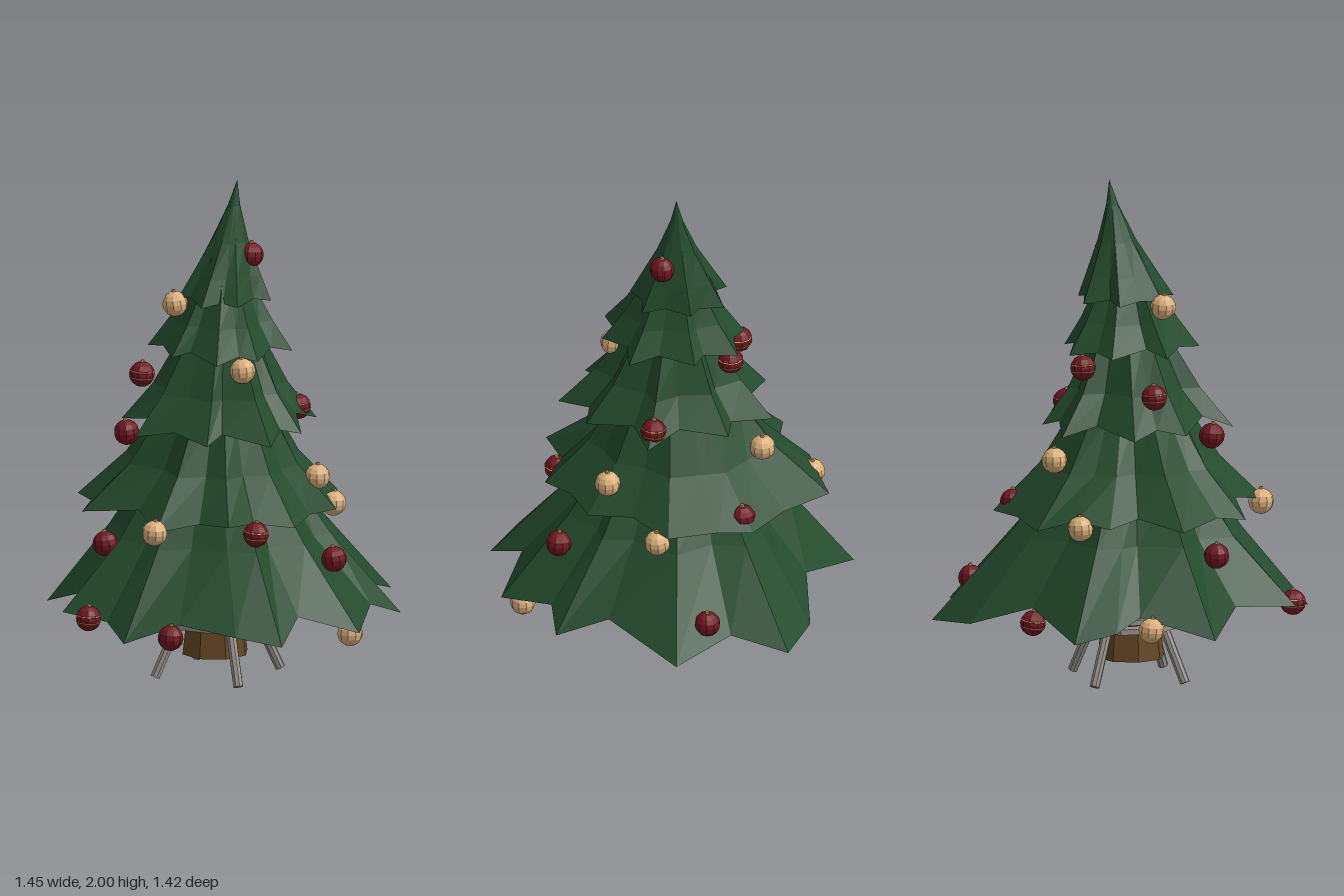
import * as THREE from 'three';

const paint = (color, side = THREE.FrontSide) =>
  new THREE.MeshStandardMaterial({ color, side, flatShading: true });

// Star outline: n tips, seen from above running back, +x, front, -x
function star(cx, cz, rx, rz, n, turn, valley) {
  const pts = [];
  for (let i = 0; i < 2 * n; i++) {
    const a = (i / (2 * n)) * Math.PI * 2 + turn + 0.1 * Math.sin(i * 2.3);
    const k = (i % 2 ? valley : 1) * (1 + 0.05 * Math.sin(i * 1.7 + 1));
    pts.push([cx + Math.sin(a) * rx * k, cz - Math.cos(a) * rz * k]);
  }
  return pts;
}

// One skirt of branches: ragged hem of [x, z, lift] narrowing through rings of [scale, y, creaseAmount]
function skirt(outline, centre, top, hemY, droop, rings) {
  const n = outline.length;
  const radii = outline.map(([x, z]) => Math.hypot(x - centre[0], z - centre[1]));
  const mean = radii.reduce((s, r) => s + r, 0) / n;
  const tipR = Math.max(...radii) * 0.93;
  const endY = rings[rings.length - 1][1];
  const pos = [];
  const idx = [];
  outline.forEach(([x, z, lift = 0], i) =>
    pos.push(x, hemY + lift + Math.max(0, tipR - radii[i]) * droop, z));
  for (const [f, y, crease] of rings) {
    const t = (y - hemY) / (endY - hemY);
    const cx = THREE.MathUtils.lerp(centre[0], top[0], t);
    const cz = THREE.MathUtils.lerp(centre[1], top[1], t);
    outline.forEach(([x, z], i) => {
      const r = f * THREE.MathUtils.lerp(mean, radii[i], crease) / radii[i];
      pos.push(cx + (x - centre[0]) * r, y, cz + (z - centre[1]) * r);
    });
  }
  for (let k = 0; k < rings.length; k++) {
    for (let i = 0; i < n; i++) {
      const j = (i + 1) % n;
      const b0 = k * n + i, b1 = k * n + j;
      idx.push(b1, b0, b0 + n, b1, b0 + n, b1 + n);
    }
  }
  const geo = new THREE.BufferGeometry();
  geo.setAttribute('position', new THREE.Float32BufferAttribute(pos, 3));
  geo.setIndex(idx);
  const flat = geo.toNonIndexed();
  flat.computeVertexNormals();
  return flat;
}

// Flat octagonal ring lying level
function octRing(outer, inner, height) {
  const ngon = (C, r) => {
    const s = new C();
    for (let i = 0; i <= 8; i++) {
      const a = ((i + 0.5) / 8) * Math.PI * 2;
      s[i ? 'lineTo' : 'moveTo'](Math.cos(a) * r, Math.sin(a) * r);
    }
    return s;
  };
  const shape = ngon(THREE.Shape, outer);
  shape.holes.push(ngon(THREE.Path, inner));
  return new THREE.ExtrudeGeometry(shape, { depth: height, bevelEnabled: false }).rotateX(-Math.PI / 2);
}

export function createModel() {
  const model = new THREE.Group();
  const green = paint(0x234b2c, THREE.DoubleSide);
  const brown = paint(0x664724);
  const metal = paint(0x96918a);
  const red = paint(0x701620);
  const cream = paint(0xdcb07c);
  const gold = paint(0xc79a4e);

  const add = (parent, name, geo, mat, x = 0, y = 0, z = 0) => {
    const mesh = new THREE.Mesh(geo, mat);
    mesh.name = name;
    mesh.position.set(x, y, z);
    parent.add(mesh);
    return mesh;
  };

  // Branch skirts, lowest first
  const hem1 = [
    [-0.2, -0.715], [0.085, -0.57], [0.34, -0.625], [0.55, -0.57], [0.545, -0.34],
    [0.725, -0.15], [0.56, 0.145], [0.6, 0.35], [0.46, 0.39], [0.34, 0.61],
    [0.1, 0.565], [-0.015, 0.71], [-0.18, 0.63], [-0.365, 0.48], [-0.58, 0.43],
    [-0.59, 0.25], [-0.725, 0.1, 0.07], [-0.575, -0.11], [-0.635, -0.365], [-0.355, -0.475],
    [-0.32, -0.595],
  ];
  const hem2 = [
    [0.015, -0.65], [0.2, -0.5], [0.37, -0.4], [0.41, -0.27], [0.48, -0.08],
    [0.38, 0.08], [0.36, 0.26], [0.22, 0.35], [0.12, 0.47], [-0.04, 0.43],
    [-0.17, 0.51, 0.04], [-0.25, 0.38], [-0.425, 0.36], [-0.42, 0.14], [-0.59, -0.06],
    [-0.52, -0.16], [-0.5, -0.385], [-0.3, -0.4], [-0.25, -0.53], [-0.12, -0.57, 0.03],
  ];
  const hem3 = star(-0.045, 0, 0.385, 0.42, 9, 0.2, 0.8);
  const hem4 = star(-0.035, -0.015, 0.275, 0.295, 8, 0.42, 0.8);
  const hem5 = star(-0.015, -0.04, 0.19, 0.2, 7, 0.35, 0.8);
  const tiers = [
    [hem1, [0, 0], [-0.04, -0.03], 0.265, 0.6, [[0.63, 0.6, 0.85], [0.46, 0.78, 0.65], [0.3, 0.98, 0.4]]],
    [hem2, [-0.05, -0.04], [-0.03, -0.02], 0.69, 0.3, [[0.67, 0.88, 0.85], [0.45, 1.07, 0.65], [0.28, 1.22, 0.4]]],
    [hem3, [-0.045, 0], [-0.02, -0.02], 1.025, 0.45, [[0.7, 1.18, 0.85], [0.48, 1.34, 0.65], [0.28, 1.48, 0.4]]],
    [hem4, [-0.035, -0.015], [-0.01, -0.03], 1.33, 0.45, [[0.72, 1.45, 0.85], [0.5, 1.56, 0.65], [0.28, 1.7, 0.4]]],
    [hem5, [-0.015, -0.04], [0.05, -0.045], 1.53, 0.45,
      [[0.76, 1.63, 0.7], [0.43, 1.76, 0.3], [0.14, 1.9, 0], [0.001, 2, 0]]],
  ];
  tiers.forEach((t, i) => add(model, `branchSkirt${i + 1}`, skirt(...t), green));

  // Trunk with a flared foot
  const trunkProfile = [[0, 0.09], [0.135, 0.09], [0.118, 0.24], [0.106, 0.38], [0.1, 0.54], [0, 0.54]]
    .map(([r, y]) => new THREE.Vector2(r, y));
  add(model, 'trunk', new THREE.LatheGeometry(trunkProfile, 8), brown, -0.045, 0, -0.038);

  // Stand: two rings and four splayed legs
  const stand = new THREE.Group();
  stand.name = 'stand';
  stand.position.set(-0.035, 0, -0.036);
  model.add(stand);
  add(stand, 'lowerRing', octRing(0.205, 0.14, 0.022), metal, 0, 0.212, 0);
  add(stand, 'upperRing', octRing(0.16, 0.115, 0.022), metal, 0, 0.24, 0);
  const up = new THREE.Vector3(0, 1, 0);
  for (let i = 0; i < 4; i++) {
    const a = (i * Math.PI) / 2;
    const foot = new THREE.Vector3(Math.cos(a) * 0.26, 0.008, Math.sin(a) * 0.26);
    const head = new THREE.Vector3(Math.cos(a) * 0.16, 0.225, Math.sin(a) * 0.16);
    const dir = head.clone().sub(foot);
    const leg = add(stand, `leg${i + 1}`, new THREE.CylinderGeometry(0.02, 0.02, dir.length(), 8), metal);
    leg.position.copy(foot).add(head).multiplyScalar(0.5);
    leg.quaternion.setFromUnitVectors(up, dir.normalize());
  }

  // Baubles: plain red, striped red and cream
  const ball = new THREE.SphereGeometry(0.051, 10, 8);
  const cap = new THREE.CylinderGeometry(0.007, 0.01, 0.01, 6);
  const band = new THREE.TorusGeometry(0.0485, 0.0022, 4, 10).rotateX(Math.PI / 2);
  const bauble = (kind, mat, striped) => ([x, y, z], i) => {
    const g = new THREE.Group();
    g.name = `${kind}${i + 1}`;
    g.position.set(x, y, z);
    g.rotation.set(0.12 * Math.sin(i * 2), i, 0.12 * Math.cos(i * 3));
    add(g, 'ball', ball, mat);
    add(g, 'cap', cap, gold, 0, 0.053, 0);
    if (striped) for (const h of [-0.013, 0.013]) add(g, 'stripe', band, gold, 0, h, 0);
    model.add(g);
  };
  [
    [-0.415, 1.015, -0.03], [0.09, 1.705, 0.005], [0.565, 0.38, -0.25], [0.31, 0.54, 0.385],
    [-0.4, 0.295, 0.475], [0.31, 0.73, -0.35], [-0.48, 0.55, -0.1],
  ].forEach(bauble('redBauble', red, false));
  [
    [0.11, 0.29, -0.525], [-0.28, 1.19, -0.245], [0.04, 1.28, -0.26], [0.285, 1.075, 0.01],
    [-0.035, 0.68, 0.445], [-0.65, 0.33, 0.2],
  ].forEach(bauble('stripedBauble', red, true));
  [
    [-0.395, 0.3, -0.455], [-0.13, 0.7, -0.56], [0.09, 0.925, -0.395], [-0.205, 1.515, -0.055],
    [0.445, 0.66, -0.03], [0.305, 0.83, 0.19], [-0.015, 1.29, 0.218], [-0.42, 0.69, 0.335],
    [0.33, 0.27, 0.525],
  ].forEach(bauble('creamBauble', cream, false));

  return model;
}
